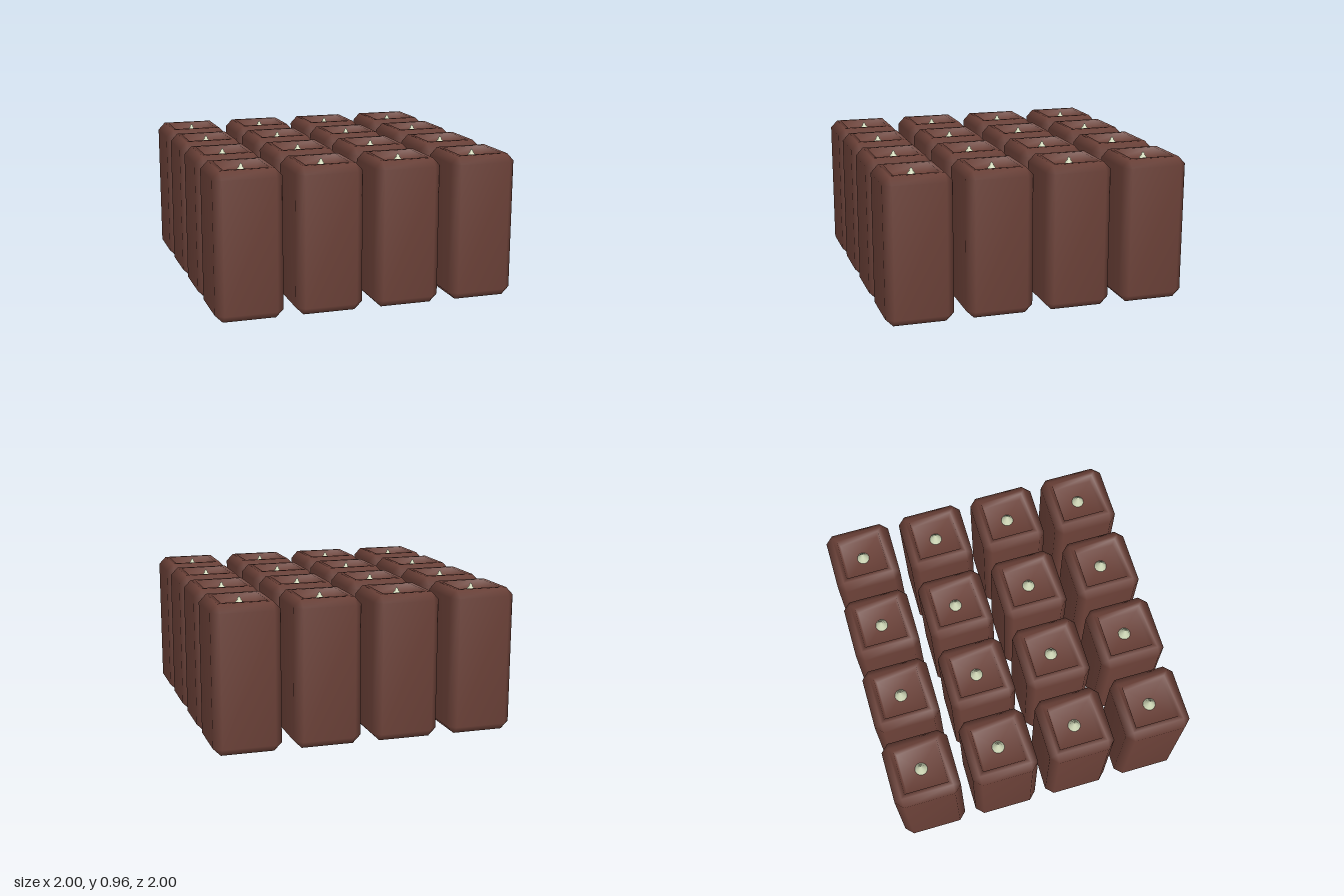
import * as THREE from 'three';
import { mergeVertices } from 'three/addons/utils/BufferGeometryUtils.js';

// Bevelled block with a shallow hollow on top, from octagonal rings [half width, corner cut, y]
function blockGeometry() {
  const rings = [
    [0, 0, 0], [0.17, 0, 0], [0.22, 0.05, 0.05], [0.22, 0.05, 0.905],
    [0.172, 0, 0.955], [0.145, 0, 0.955], [0.13, 0, 0.895], [0, 0, 0.895],
  ];
  const pos = [], index = [];
  for (const [h, cut, y] of rings) {
    const i = h - cut;
    for (const [x, z] of [[h, -i], [h, i], [i, h], [-i, h], [-h, i], [-h, -i], [-i, -h], [i, -h]]) pos.push(x, y, z);
  }
  for (let r = 0; r < rings.length - 1; r++) {
    for (let k = 0; k < 8; k++) {
      const a = r * 8 + k, b = r * 8 + (k + 1) % 8;
      index.push(a, a + 8, b, a + 8, b + 8, b);
    }
  }
  let geo = new THREE.BufferGeometry();
  geo.setAttribute('position', new THREE.Float32BufferAttribute(pos, 3));
  geo.setIndex(index);
  geo = mergeVertices(geo, 1e-4);
  geo.computeVertexNormals();
  return geo;
}

// Small peak with slightly stepped sides
function peakGeometry() {
  const profile = [new THREE.Vector2(0.05, 0)];
  const tiers = 4, height = 0.085;
  for (let t = 0; t < tiers; t++) {
    const r = 0.052 * (1 - t / tiers);
    profile.push(new THREE.Vector2(r, height * (t + 0.15) / tiers));
    profile.push(new THREE.Vector2(t === tiers - 1 ? 0 : r - 0.016, height * (t + 1) / tiers));
  }
  return new THREE.LatheGeometry(profile, 12);
}

export function createModel() {
  const brown = new THREE.MeshStandardMaterial({ color: 0x6a4037 });
  brown.name = 'chocolate brown';
  const cream = new THREE.MeshStandardMaterial({ color: 0xcbd3b3 });
  cream.name = 'pale cream';

  const block = blockGeometry(), peak = peakGeometry();
  const model = new THREE.Group();
  model.name = 'blockGrid';

  // Four by four grid of separate blocks
  const pitch = 0.519;
  for (let row = 0; row < 4; row++) {
    for (let col = 0; col < 4; col++) {
      const piece = new THREE.Group();
      piece.name = `piece${row}${col}`;
      piece.position.set((col - 1.5) * pitch, 0, (row - 1.5) * pitch);
      const body = new THREE.Mesh(block, brown);
      body.name = 'block';
      const tip = new THREE.Mesh(peak, cream);
      tip.name = 'peak';
      tip.position.y = 0.88;
      piece.add(body, tip);
      model.add(piece);
    }
  }
  return model;
}
